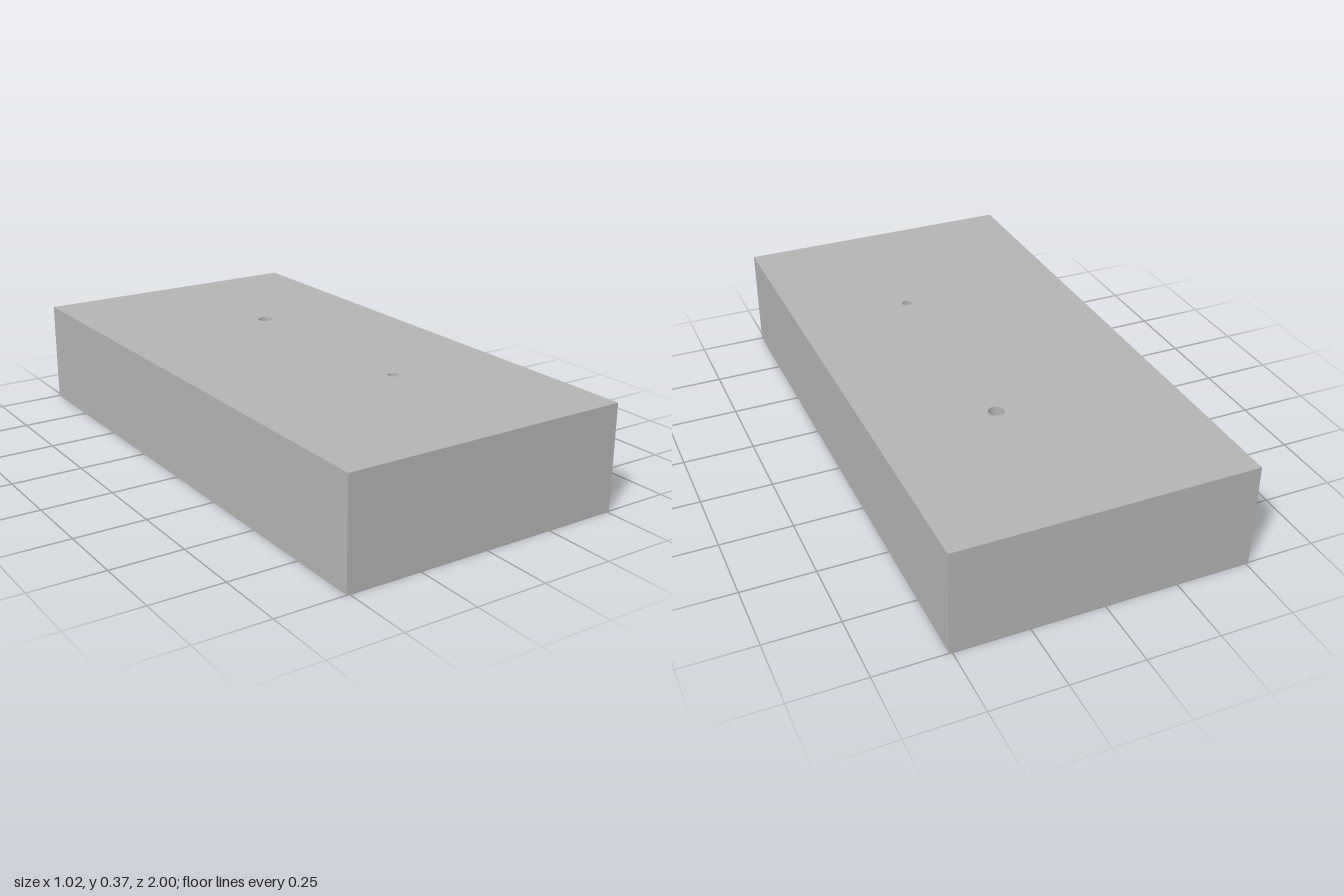
import * as THREE from 'three';

const W = 1.02, L = 2, H = 0.367;                 // block
const SW = 0.282, SL = 1.25, SD = 0.163;          // underside slot, its depth is also its end radius
const BOLT_R = 0.067, BOLT_D = 0.22;              // blind corner holes
const bolts = [-1, 1].flatMap(i => [-1, 1].map(j => [0.36 * i, 0.847 * j, BOLT_R]));
const ports = [[0.093, -0.4, 0.027], [0.093, 0.4, 0.018]];

export function createModel() {
  const group = new THREE.Group();
  const grey = new THREE.MeshStandardMaterial({ color: 0xb3b3b3, side: THREE.DoubleSide });
  grey.name = 'plain grey';

  const add = (name, geometry) => {
    const mesh = new THREE.Mesh(geometry, grey);
    mesh.name = name;
    group.add(mesh);
  };

  // Rectangle outline, usable as a shape or as a hole
  const rect = (path, w, l) => path.moveTo(-w / 2, -l / 2).lineTo(w / 2, -l / 2)
    .lineTo(w / 2, l / 2).lineTo(-w / 2, l / 2).closePath();

  // Horizontal face at height y, pierced by round holes [x, z, r] and other paths
  const face = (w, l, y, facing, holes, extra = []) => {
    const shape = rect(new THREE.Shape(), w, l);
    for (const [x, z, r] of holes) {
      shape.holes.push(new THREE.Path().absarc(x, -facing * z, r, 0, Math.PI * 2, true));
    }
    shape.holes.push(...extra);
    return new THREE.ShapeGeometry(shape, 24).rotateX(-facing * Math.PI / 2).translate(0, y, 0);
  };

  // Turn a surface inside out, for the walls of holes
  const inward = (g) => {
    const index = g.index.array, n = g.attributes.normal.array;
    for (let i = 0; i < index.length; i += 3) [index[i], index[i + 1]] = [index[i + 1], index[i]];
    for (let i = 0; i < n.length; i++) n[i] = -n[i];
    return g;
  };
  const bore = ([x, z, r], y0, y1) =>
    inward(new THREE.CylinderGeometry(r, r, y1 - y0, 48, 1, true)).translate(x, (y0 + y1) / 2, z);

  // Outer faces
  add('topFace', face(W, L, H, 1, ports));
  add('bottomFace', face(W, L, 0, -1, bolts, [rect(new THREE.Path(), SW, SL)]));
  for (let i = 0; i < 4; i++) {
    const [width, out] = i % 2 ? [L, W / 2] : [W, L / 2];
    add('outerSide', new THREE.PlaneGeometry(width, H).translate(0, H / 2, out).rotateY(i * Math.PI / 2));
  }

  // Blind corner holes
  for (const b of bolts) {
    add('cornerHoleWall', bore(b, 0, BOLT_D));
    add('cornerHoleEnd', new THREE.CircleGeometry(BOLT_R, 48).rotateX(Math.PI / 2).translate(b[0], BOLT_D, b[1]));
  }

  // Slot: flat roof with rounded ends, and two straight walls
  const flat = SL / 2 - SD;
  add('slotRoof', face(SW, flat * 2, SD, -1, ports));
  for (const s of [-1, 1]) {
    const end = new THREE.CylinderGeometry(SD, SD, SW, 24, 1, true, s > 0 ? 0 : Math.PI / 2, Math.PI / 2);
    add('slotRoundedEnd', inward(end).rotateZ(Math.PI / 2).translate(0, 0, s * flat));

    const wall = new THREE.Shape().moveTo(-SL / 2, 0).lineTo(SL / 2, 0)
      .absarc(flat, 0, SD, 0, Math.PI / 2, false)
      .absarc(-flat, 0, SD, Math.PI / 2, Math.PI, false);
    add('slotWall', new THREE.ShapeGeometry(wall, 24).rotateY(-s * Math.PI / 2).translate(s * SW / 2, 0, 0));
  }

  // Small through ports from the slot to the top
  for (const p of ports) add('portWall', bore(p, SD, H));

  return group;
}
